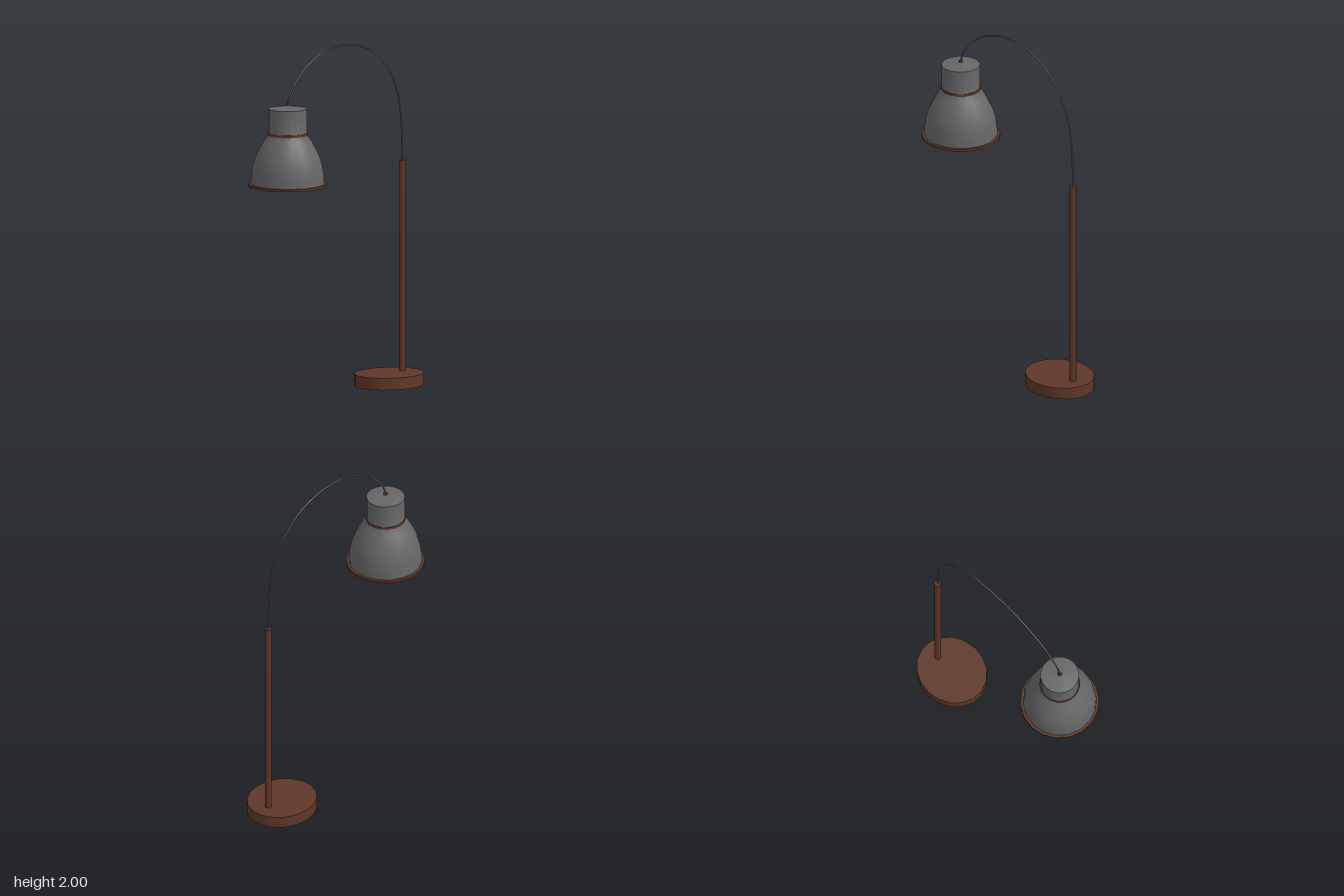
import * as THREE from 'three';
import { toCreasedNormals } from 'three/addons/utils/BufferGeometryUtils.js';

const SIDES = 18;
const SHADE_X = -0.43;
const POLE_X = 0.555;

export function createModel() {
  const lamp = new THREE.Group();
  lamp.name = 'arcFloorLamp';
  const wood = new THREE.MeshStandardMaterial({ color: 0x5f3729, side: THREE.DoubleSide });
  const metal = new THREE.MeshStandardMaterial({ color: 0x666666, side: THREE.DoubleSide });

  const add = (name, geometry, material, x, y = 0) => {
    const mesh = new THREE.Mesh(geometry, material);
    mesh.name = name;
    mesh.position.set(x, y, 0);
    lamp.add(mesh);
    return mesh;
  };
  // Turned part from [radius, height] pairs, listed bottom to top
  const turned = (points, sides = SIDES) =>
    toCreasedNormals(new THREE.LatheGeometry(points.map(([r, y]) => new THREE.Vector2(r, y)), sides), 0.7);
  // Closed band with a rectangular section
  const band = (inner, outer, low, high) =>
    turned([[inner, low], [outer, low], [outer, high], [inner, high], [inner, low]]);

  // Oval base, hollow underneath
  const base = add('base', turned([[0.212, 0], [0.212, 0.068], [0, 0.068]]), wood, 0.44);
  base.scale.z = 0.886;

  // Upright pole
  add('pole', new THREE.CylinderGeometry(0.019, 0.019, 1.21, 12), wood, POLE_X, 0.67);

  // Thin curved arm from pole to shade
  const arc = new THREE.CatmullRomCurve3([
    [POLE_X, 1.26], [0.546, 1.5], [0.52, 1.64], [0.47, 1.76], [0.4, 1.85], [0.3, 1.93],
    [0.17, 1.98], [0.04, 1.995], [-0.08, 1.985], [-0.19, 1.95], [-0.29, 1.895],
    [-0.37, 1.82], [-0.415, 1.757], [SHADE_X, 1.7],
  ].map(([x, y]) => new THREE.Vector3(x, y, 0)));
  add('arm', new THREE.TubeGeometry(arc, 48, 0.005, 8), metal, 0);

  // Bell shade with neck and low conical cap, open below
  add('shade', turned([
    [0.209, 1.25], [0.206, 1.3], [0.198, 1.36], [0.182, 1.415], [0.16, 1.46],
    [0.136, 1.505], [0.11, 1.54], [0.11, 1.69], [0.013, 1.706], [0, 1.706],
  ]), metal, SHADE_X);

  // Trim on the shade
  add('shadeRim', band(0.205, 0.224, 1.247, 1.26), wood, SHADE_X);
  add('neckRing', band(0.107, 0.114, 1.538, 1.552), wood, SHADE_X);
  add('armSocket', new THREE.CylinderGeometry(0.01, 0.014, 0.014, 12), wood, SHADE_X, 1.708);

  return lamp;
}
